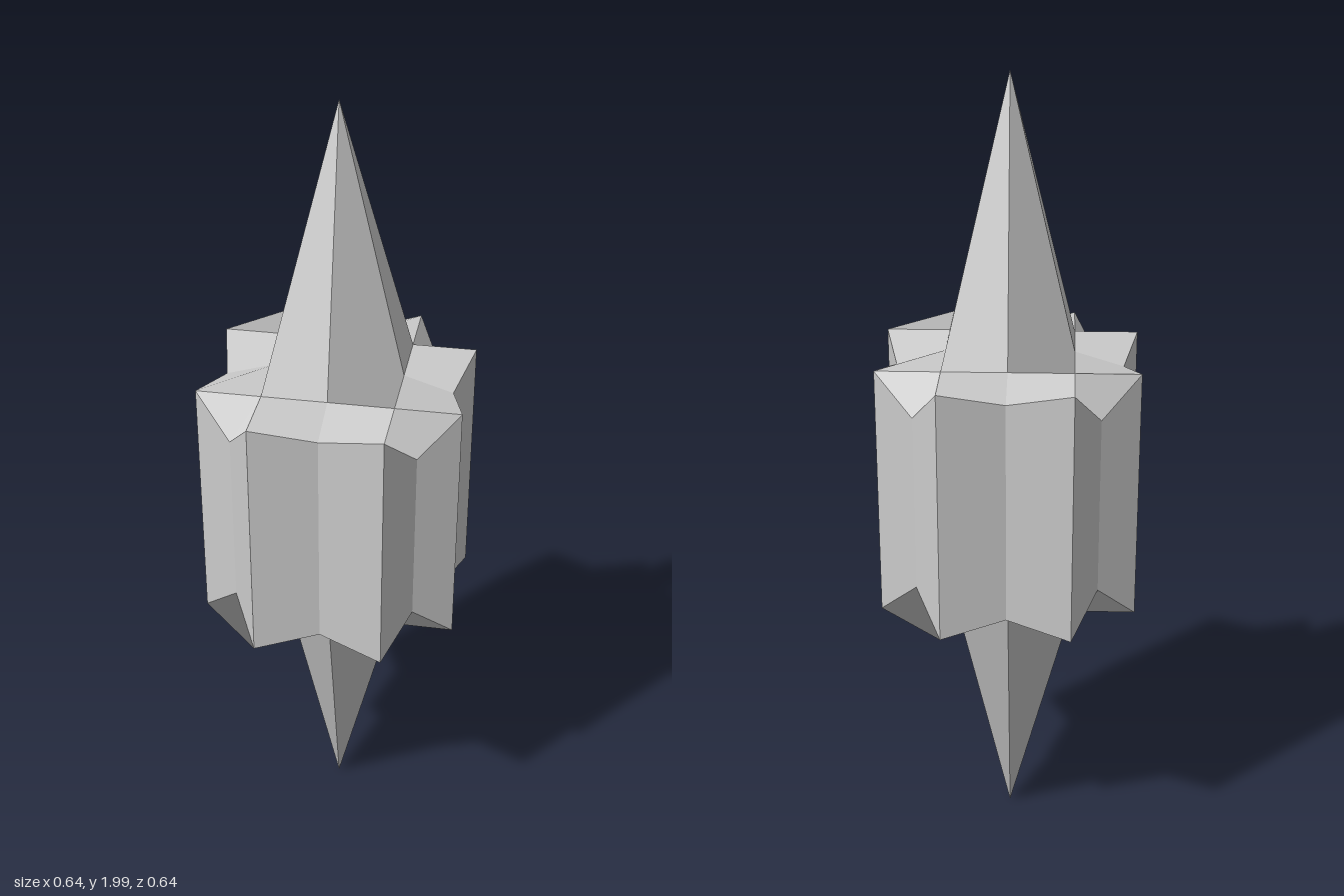
import * as THREE from 'three';

const CENTRE = 1.005; // height of the mirror plane
const s = 0.159, w = 0.318, d = 0.28, n = 0.223;

// Key points of one octant; the other seven are mirrored from it
const apex = [0, 0.995, 0];
const midZ = [0, 0.317, s], midX = [s, 0.317, 0], inner = [s, 0.317, s];
const dipZ = [0, d, d], dipX = [d, d, 0];
const cornerZ = [s, 0.317, w], cornerX = [w, 0.317, s];
const notch = [n, n, n];
const wallPath = [dipZ, cornerZ, notch, cornerX, dipX];

const spikeQuads = [[apex, midZ, inner, midX]];
const rimQuads = [
  [midZ, dipZ, cornerZ, inner],
  [inner, cornerZ, notch, cornerX],
  [midX, inner, cornerX, dipX],
];
const wallQuads = wallPath.slice(1).map((q, i) => {
  const p = wallPath[i];
  return [[p[0], 0, p[2]], [q[0], 0, q[2]], q, p];
});

// Mirrors quads into the four octants of one half; each quad gets one flat normal
function mirrorQuads(quads, sy, positions, normals) {
  for (const sx of [1, -1]) for (const sz of [1, -1]) {
    const parity = sx * sy * sz;
    for (const quad of quads) {
      const v = quad.map(([x, y, z]) => new THREE.Vector3(x * sx, CENTRE + y * sy, z * sz));
      const normal = v[2].clone().sub(v[0]).cross(v[3].clone().sub(v[1]))
        .multiplyScalar(parity).normalize();
      // The folding diagonal alternates from octant to octant
      const order = parity > 0 ? [0, 1, 3, 1, 2, 3] : [0, 2, 1, 0, 3, 2];
      for (const i of order) {
        positions.push(...v[i].toArray());
        normals.push(...normal.toArray());
      }
    }
  }
}

function makePart(name, quads, sides, material) {
  const positions = [], normals = [];
  for (const sy of sides) mirrorQuads(quads, sy, positions, normals);
  const geometry = new THREE.BufferGeometry();
  geometry.setAttribute('position', new THREE.Float32BufferAttribute(positions, 3));
  geometry.setAttribute('normal', new THREE.Float32BufferAttribute(normals, 3));
  const mesh = new THREE.Mesh(geometry, material);
  mesh.name = name;
  return mesh;
}

export function createModel() {
  const group = new THREE.Group();
  group.name = 'spikedCrystal';
  const material = new THREE.MeshStandardMaterial({ color: 0xcccccc });
  group.add(
    makePart('upperSpike', spikeQuads, [1], material),
    makePart('upperRim', rimQuads, [1], material),
    makePart('bodyWalls', wallQuads, [1, -1], material),
    makePart('lowerRim', rimQuads, [-1], material),
    makePart('lowerSpike', spikeQuads, [-1], material),
  );
  return group;
}
